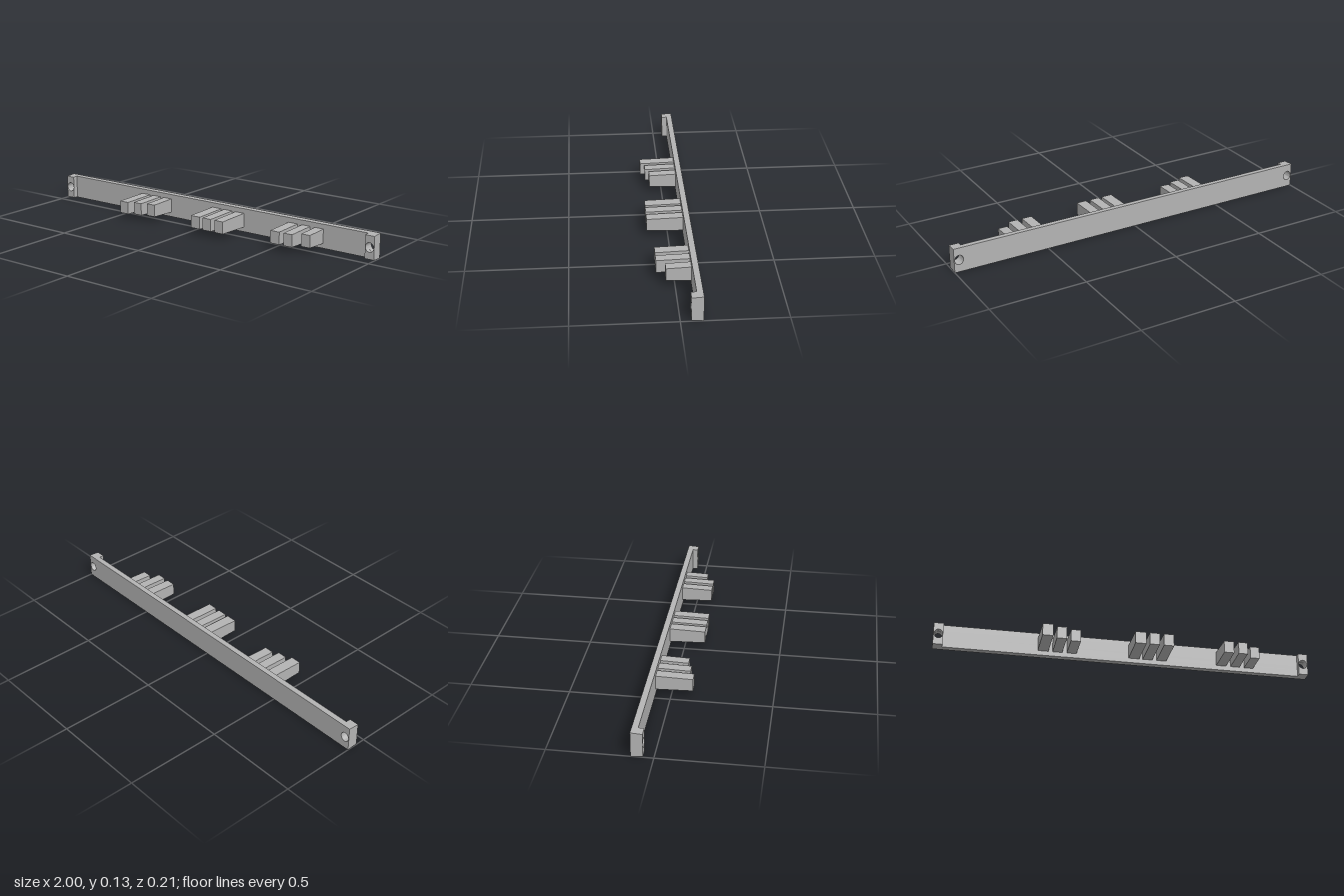
import * as THREE from 'three';
import { toCreasedNormals } from 'three/addons/utils/BufferGeometryUtils.js';

const MID = 0.0635; // mid height of the bar
const BACK = -0.107, FACE = -0.077, BLOCK = -0.05;

// Rectangle with round holes, extruded from z0 to z1, height narrowing toward the front
function slab(x0, x1, z0, z1, h0, h1, holes = []) {
  const shape = new THREE.Shape([
    new THREE.Vector2(x0, -0.5), new THREE.Vector2(x1, -0.5),
    new THREE.Vector2(x1, 0.5), new THREE.Vector2(x0, 0.5),
  ]);
  const ry = 0.0245 / ((h0 + h1) / 2);
  for (const hx of holes) {
    shape.holes.push(new THREE.Path().absellipse(hx, 0, 0.0225, ry, 0, Math.PI * 2, true));
  }
  const geo = new THREE.ExtrudeGeometry(shape, { depth: z1 - z0, bevelEnabled: false, curveSegments: 20 });
  const p = geo.attributes.position;
  for (let i = 0; i < p.count; i++) {
    const t = p.getZ(i) / (z1 - z0);
    p.setXYZ(i, p.getX(i), MID + p.getY(i) * (h0 + (h1 - h0) * t), z0 + p.getZ(i));
  }
  return toCreasedNormals(geo, 0.5);
}

export function createModel() {
  const group = new THREE.Group();
  const grey = new THREE.MeshStandardMaterial({ color: 0xb4b4b4 });
  grey.name = 'plain grey';
  const add = (name, geo) => {
    const mesh = new THREE.Mesh(geo, grey);
    mesh.name = name;
    group.add(mesh);
  };

  // Long back bar with a screw hole near each end
  add('bar', slab(-1, 1, BACK, FACE, 0.127, 0.123, [-0.974, 0.974]));

  // Raised mounting blocks at the ends
  add('leftEndBlock', slab(0.95, 1, FACE, BLOCK, 0.123, 0.119, [0.974]));
  add('rightEndBlock', slab(-1, -0.95, FACE, BLOCK, 0.123, 0.119, [-0.974]));

  // Three groups of tapered pegs: [x start, x end, front z]
  const pegs = [
    [-0.46, -0.405, 0.107], [-0.383, -0.332, 0.085], [-0.308, -0.257, 0.065],
    [0.02, 0.077, 0.107], [0.096, 0.147, 0.107], [0.17, 0.223, 0.107],
    [0.497, 0.55, 0.086], [0.575, 0.624, 0.086], [0.651, 0.7, 0.044],
  ];
  pegs.forEach(([x0, x1, z], i) => add(`peg${i + 1}`, slab(x0, x1, FACE, z, 0.074, 0.064)));

  return group;
}
